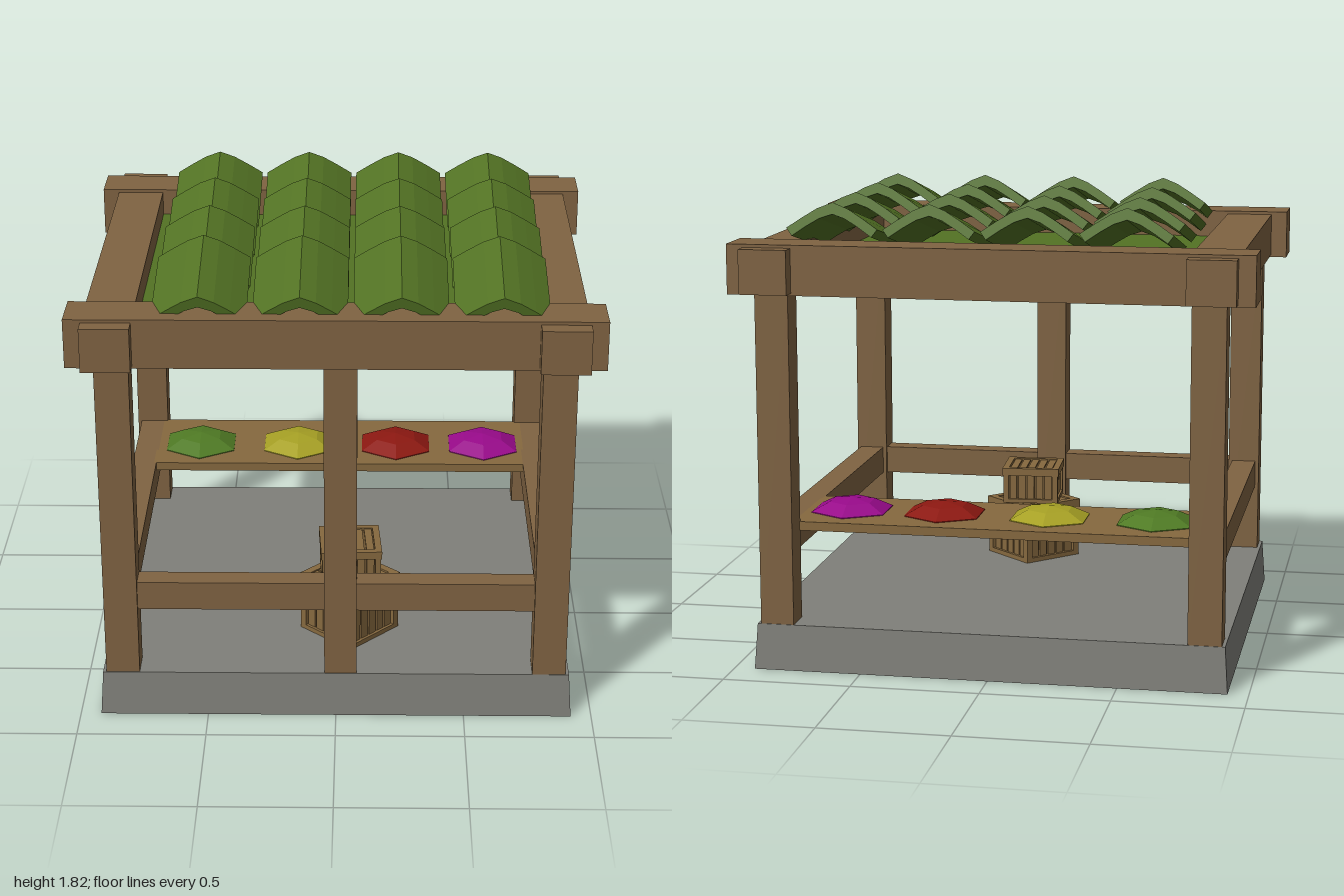
import * as THREE from 'three';

const mat = (color, side = THREE.FrontSide) => {
  const m = new THREE.MeshStandardMaterial({ color, flatShading: true });
  m.side = side;
  return m;
};
const wood = mat(0x7f6342);
const crateWood = mat(0x86693f);
const darkWood = mat(0x6a5231);
const stone = mat(0x80807a);
const green = mat(0x537324);

function add(parent, name, geometry, material) {
  const mesh = new THREE.Mesh(geometry, material);
  mesh.name = name;
  parent.add(mesh);
  return mesh;
}

// Box given by its lower and upper bounds on each axis
function box(parent, name, material, [x0, x1], [y0, y1], [z0, z1]) {
  const mesh = add(parent, name, new THREE.BoxGeometry(x1 - x0, y1 - y0, z1 - z0), material);
  mesh.position.set((x0 + x1) / 2, (y0 + y1) / 2, (z0 + z1) / 2);
  return mesh;
}

function group(parent, name) {
  const g = new THREE.Group();
  g.name = name;
  parent.add(g);
  return g;
}

// Stone slab, slightly narrower at the top
function addBase(parent) {
  const g = new THREE.BoxGeometry(1.84, 0.18, 1.69);
  const p = g.attributes.position;
  for (let i = 0; i < p.count; i++) {
    if (p.getY(i) > 0) p.setXYZ(i, Math.sign(p.getX(i)) * 0.908, 0.09, Math.sign(p.getZ(i)) * 0.833);
  }
  add(parent, 'stoneBase', g, stone).position.y = 0.09;
}

// Posts, top beams and lower rails
function addFrame(parent) {
  const frame = group(parent, 'frame');
  const span = (s, a, b) => (s > 0 ? [a, b] : [-b, -a]);
  for (const sx of [-1, 1]) {
    for (const sz of [-1, 1]) {
      box(frame, 'cornerPost', wood, span(sx, 0.765, 0.895), [0.17, 1.5], span(sz, 0.71, 0.83));
    }
    box(frame, 'sideBeam', wood, span(sx, 0.75, 0.935), [1.475, 1.646], [-0.9, 0.9]);
    box(frame, 'sideRail', wood, span(sx, 0.78, 0.88), [0.45, 0.565], [-0.72, 0.72]);
    box(frame, sx > 0 ? 'frontBeam' : 'backBeam', wood, [-1, 1], [1.466, 1.658], span(sx, 0.65, 0.836));
  }
  box(frame, 'middlePost', wood, [-0.045, 0.08], [0.17, 1.5], [0.71, 0.83]);
  box(frame, 'frontRail', wood, [-0.78, 0.78], [0.45, 0.565], [0.725, 0.815]);
  box(frame, 'backShelf', crateWood, [-0.79, 0.79], [0.53, 0.565], [-0.72, -0.27]);
}

// Arched tiles overlapping in four columns and four rows
function addRoof(parent) {
  const roof = group(parent, 'roof');
  box(roof, 'roofBoard', green, [-0.755, 0.755], [1.53, 1.55], [-0.66, 0.66]);
  const outer = [[0.177, -0.1], [0.118, -0.06], [0.06, -0.024]];
  const inner = [[0.155, -0.13], [0.1, -0.092], [0.05, -0.062]];
  const flip = (pts) => pts.map(([x, y]) => [-x, y]).reverse();
  const outline = [...outer, [0, 0], ...flip(outer), ...flip(inner).reverse(), [0, -0.045], ...inner.slice().reverse()];
  const shape = new THREE.Shape(outline.map(([x, y]) => new THREE.Vector2(x, y)));
  const tile = new THREE.ExtrudeGeometry(shape, { depth: 0.43, bevelEnabled: false });
  tile.translate(0, 0, -0.43);
  tile.rotateX(0.212);
  for (let col = 0; col < 4; col++) {
    for (let row = 0; row < 4; row++) {
      add(roof, 'roofTile', tile, green).position.set(-0.508 + col * 0.375, 1.73 - row * 0.004, 0.787 - row * 0.358);
    }
  }
}

// Low faceted heaps of goods on the shelf
function addHeaps(parent) {
  const profile = [[0.17, -0.01], [0.17, 0.003], [0.095, 0.038], [0, 0.05]].map(([x, y]) => new THREE.Vector2(x, y));
  const heap = new THREE.LatheGeometry(profile, 6);
  heap.scale(0.98, 1, 1);
  const heaps = group(parent, 'goods');
  [[-0.6, 0x4f7a24], [-0.18, 0xa6a024], [0.24, 0x8c1811], [0.615, 0x980a8a]].forEach(([x, color]) => {
    add(heaps, 'goodsHeap', heap, mat(color, THREE.DoubleSide)).position.set(x, 0.565, -0.48);
  });
}

// Planked crate with corner posts and rims; w = outer width, h = height
function addCrate(parent, name, w, h) {
  const crate = group(parent, name);
  const r = w / 2;
  const t = w * 0.11;
  const q = r - t * 0.5;
  box(crate, 'crateCore', darkWood, [-q + 0.008, q - 0.008], [0.005, h - 0.012], [-q + 0.008, q - 0.008]);
  for (let side = 0; side < 4; side++) {
    const face = group(crate, 'crateSide');
    face.rotation.y = (side * Math.PI) / 2;
    box(face, 'crateCorner', crateWood, [r - t, r - 0.004], [0, h - 0.01], [r - t, r - 0.004]);
    box(face, 'crateBottomRim', crateWood, [-r + t, r - t], [0, t * 0.6], [r - t, r - 0.004]);
    box(face, 'crateTopRim', crateWood, [-r, r - t], [h - t * 1.2, h], [r - t, r]);
    const step = (w - 2 * t) / 5;
    for (let i = 0; i < 5; i++) {
      const x = -r + t + i * step;
      box(face, 'cratePlank', crateWood, [x + 0.004, x + step - 0.004], [0, h - t], [q - 0.01, q]);
    }
  }
  // Lid slats
  const step = (w - 2 * t) / 5;
  for (let i = 0; i < 5; i++) {
    const x = -r + t + i * step;
    box(crate, 'lidSlat', crateWood, [x + 0.004, x + step - 0.004], [h - 0.02, h - 0.005], [-r + t, r - t]);
  }
  return crate;
}

export function createModel() {
  const model = new THREE.Group();
  model.name = 'marketStall';
  addBase(model);
  addFrame(model);
  addRoof(model);
  addHeaps(model);

  // Two stacked crates behind the middle post
  const lower = addCrate(model, 'lowerCrate', 0.284, 0.245);
  lower.position.set(0.05, 0.18, 0.455);
  lower.rotation.y = Math.PI / 4 + 0.03;
  const upper = addCrate(model, 'upperCrate', 0.24, 0.15);
  upper.position.set(0.052, 0.425, 0.455);
  upper.rotation.y = 0.06;
  return model;
}
